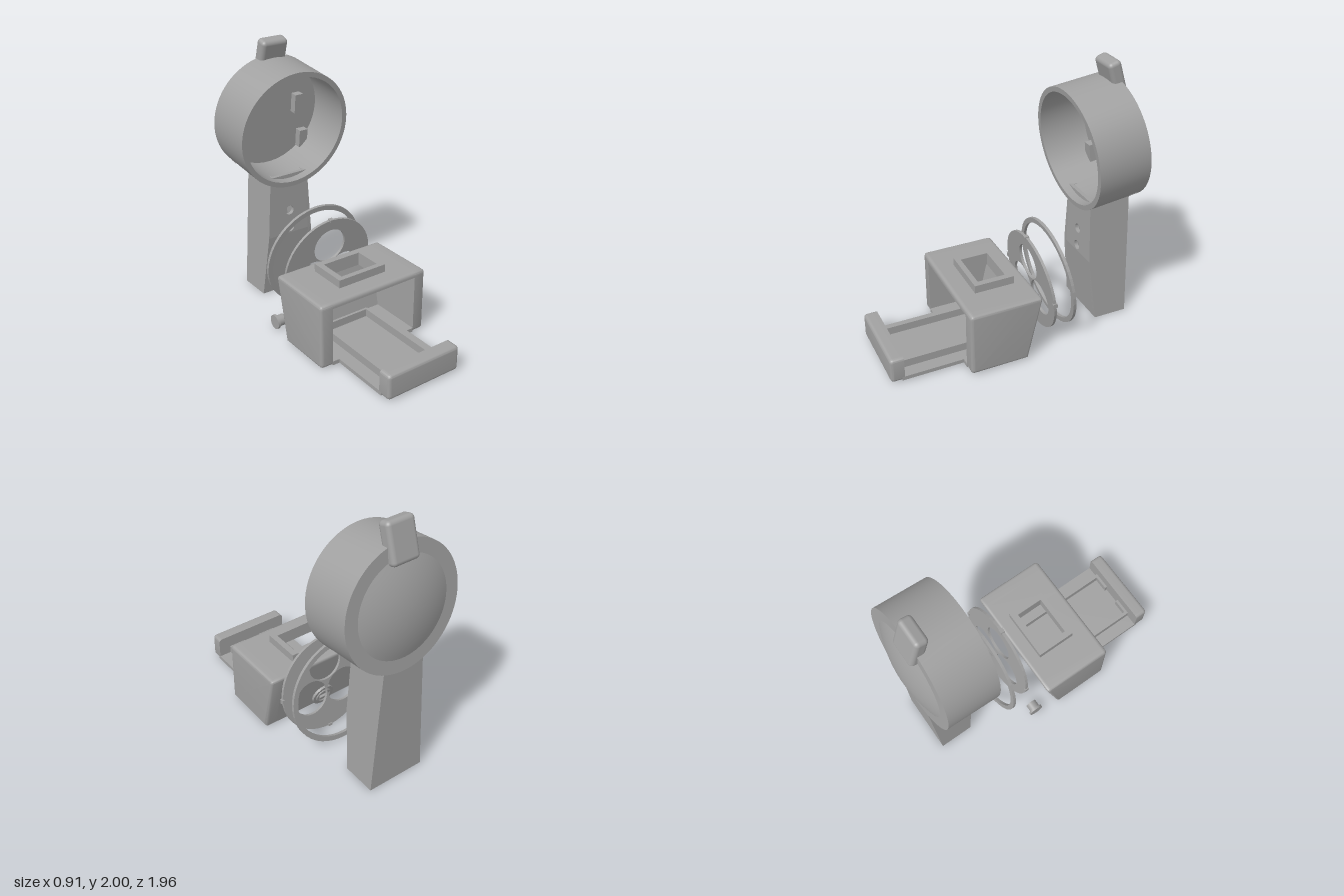
import * as THREE from 'three';
import { toCreasedNormals } from 'three/addons/utils/BufferGeometryUtils.js';
import { RoundedBoxGeometry } from 'three/addons/geometries/RoundedBoxGeometry.js';

const grey = new THREE.MeshStandardMaterial({ color: 0xa0a0a0 });
grey.name = 'plainGrey';

function add(parent, name, geo, x = 0, y = 0, z = 0, rx = 0) {
  const mesh = new THREE.Mesh(geo, grey);
  mesh.name = name;
  mesh.position.set(x, y, z);
  mesh.rotation.x = rx;
  parent.add(mesh);
  return mesh;
}

// Box given by its limits
function block(parent, name, x0, x1, y0, y1, z0, z1) {
  return add(parent, name, new THREE.BoxGeometry(x1 - x0, y1 - y0, z1 - z0),
    (x0 + x1) / 2, (y0 + y1) / 2, (z0 + z1) / 2);
}

// Polygon whose points may carry a corner radius: [x, y, r]
function poly(points, Kind = THREE.Shape) {
  const s = new Kind();
  const n = points.length;
  points.forEach(([x, y, r = 0], i) => {
    const p = new THREE.Vector2(x, y);
    const toward = (q) => new THREE.Vector2(q[0], q[1]).sub(p).setLength(r).add(p);
    const a = r ? toward(points[(i + n - 1) % n]) : p;
    if (i) s.lineTo(a.x, a.y); else s.moveTo(a.x, a.y);
    if (r) {
      const b = toward(points[(i + 1) % n]);
      s.quadraticCurveTo(x, y, b.x, b.y);
    }
  });
  s.closePath();
  return s;
}
const rect = (x0, x1, y0, y1, r = 0, Kind) =>
  poly([[x0, y0, r], [x1, y0, r], [x1, y1, r], [x0, y1, r]], Kind);
const circleHole = (x, y, r) => new THREE.Path().absarc(x, y, r, 0, Math.PI * 2, true);

function extrude(shape, depth, bevel = 0) {
  return new THREE.ExtrudeGeometry(shape, {
    depth, curveSegments: 24, bevelEnabled: bevel > 0, bevelSize: bevel,
    bevelThickness: bevel, bevelOffset: -bevel, bevelSegments: 5,
  });
}

// Move every vertex by a rule and rebuild normals
function reshape(geo, rule) {
  const p = geo.attributes.position;
  const v = new THREE.Vector3();
  for (let i = 0; i < p.count; i++) {
    rule(v.fromBufferAttribute(p, i));
    p.setXYZ(i, v.x, v.y, v.z);
  }
  geo.computeVertexNormals();
  return toCreasedNormals(geo, 0.6);
}

// Extrude a (z, y) profile across x
const across = (shape, x0, x1) =>
  extrude(shape, x1 - x0).rotateY(-Math.PI / 2).translate(x1, 0, 0);

function buildHousing(parent) {
  const g = new THREE.Group();
  g.name = 'housing';
  parent.add(g);
  const r = 0.03;
  // Solid cheeks, rounded only on the outside
  const cheek = poly([[0.44, 0.5, r], [-0.11, 0.5, r], [0, 0.01], [0.44, 0.01, r]]);
  for (const s of [-1, 1]) {
    const geo = extrude(cheek, 0.07, 0.025).rotateY(-Math.PI / 2)
      .translate(s > 0 ? 0.43 : -0.36, 0, 0);
    add(g, 'housingSide', reshape(geo, (v) => { v.x = s * Math.max(0.36, s * v.x); }));
    // Roof, sloped back and floor beside the roof slot
    const ring = poly([[0.44, 0.5, r], [-0.11, 0.5, r], [0, 0.01], [0.44, 0.01],
      [0.44, 0.04], [0.03, 0.04], [-0.065, 0.46], [0.44, 0.46]]);
    add(g, 'housingShell', s > 0 ? across(ring, 0.155, 0.36) : across(ring, -0.36, -0.155));
  }
  // Middle strip, with the roof slot left open
  const rear = poly([[0.05, 0.5], [-0.11, 0.5, r], [0, 0.01], [0.44, 0.01],
    [0.44, 0.04], [0.03, 0.04], [-0.065, 0.46], [0.05, 0.46]]);
  add(g, 'housingRear', across(rear, -0.155, 0.155));
  const lip = poly([[0.44, 0.5, r], [0.26, 0.5], [0.26, 0.46], [0.44, 0.46]]);
  add(g, 'housingFrontLip', across(lip, -0.155, 0.155));
  // Raised collar round the slot
  const collar = rect(-0.2, 0.2, -0.3, 0);
  collar.holes.push(rect(-0.155, 0.155, -0.26, -0.05, 0, THREE.Path));
  add(g, 'slotCollar', extrude(collar, 0.06).rotateX(-Math.PI / 2), 0, 0.5, 0);
}

function buildTray(parent) {
  const g = new THREE.Group();
  g.name = 'tray';
  parent.add(g);
  block(g, 'trayBase', -0.305, 0.305, 0.011, 0.04, 0.3, 0.9);
  for (const s of [-1, 1]) {
    block(g, 'trayRail', s * 0.197 - 0.012, s * 0.197 + 0.012, 0.035, 0.1, 0.1, 0.88);
    block(g, 'trayStop', s * 0.13 - 0.06, s * 0.13 + 0.06, 0.035, 0.1, 0.86, 0.885);
  }
  block(g, 'trayRearWall', -0.2, 0.2, 0.035, 0.1, 0.09, 0.11);
  // Front panel with a finger window, rounded on the front only
  const panel = rect(-0.305, 0.305, 0.01, 0.2, 0.03);
  panel.holes.push(rect(-0.083, 0.083, 0.058, 0.16, 0, THREE.Path));
  add(g, 'trayFront', reshape(extrude(panel, 0.075, 0.025).translate(0, 0, 0.88), (v) => {
    v.z = Math.max(0.88, v.z);
    if (Math.abs(v.x) < 0.15) {
      v.x = THREE.MathUtils.clamp(v.x, -0.083, 0.083);
      v.y = THREE.MathUtils.clamp(v.y, 0.058, 0.16);
    }
  }));
}

function buildLooseParts(parent) {
  // Slotted eyelet behind the housing
  const eye = new THREE.Shape().absarc(0, 0, 0.09, 0, Math.PI * 2);
  eye.holes.push(rect(-0.035, 0.035, -0.02, 0.02, 0, THREE.Path));
  const eyelet = add(parent, 'eyelet', extrude(eye, 0.018).translate(0, 0, -0.009), 0, 0.16, -0.095, -0.26);
  add(eyelet, 'eyeletRim', new THREE.TorusGeometry(0.058, 0.008, 8, 32), 0, 0, -0.009);

  // Side knob
  const knob = new THREE.Group();
  knob.name = 'knob';
  parent.add(knob);
  const stub = (r, x0, x1) => add(knob, 'knobPart',
    new THREE.CylinderGeometry(r, r, x1 - x0, 32).rotateZ(Math.PI / 2), (x0 + x1) / 2, 0.062, -0.192);
  stub(0.055, -0.43, -0.412);
  stub(0.042, -0.412, -0.355);

  // Wheel with three round windows and four rim tabs
  const disc = new THREE.Shape().absarc(0, 0, 0.378, 0, Math.PI * 2);
  for (let i = 0; i < 3; i++) {
    const a = Math.PI / 2 + i * Math.PI * 2 / 3;
    disc.holes.push(circleHole(0.16 * Math.cos(a), 0.16 * Math.sin(a), 0.136));
  }
  const wheel = add(parent, 'wheel', extrude(disc, 0.02).translate(0, 0, -0.01), 0.06, 0.393, -0.21, 0.13);
  for (let i = 0; i < 4; i++) {
    const tab = add(wheel, 'wheelTab', new THREE.BoxGeometry(0.02, 0.035, 0.034));
    tab.position.set(0.375 * Math.cos(i * Math.PI / 2), 0.375 * Math.sin(i * Math.PI / 2), 0);
    tab.rotation.z = i * Math.PI / 2;
  }

  // Retaining ring
  const band = new THREE.Shape().absarc(0, 0, 0.413, 0, Math.PI * 2);
  band.holes.push(circleHole(0, 0, 0.375));
  add(parent, 'ring', extrude(band, 0.022).translate(0, 0, -0.011), 0.04, 0.418, -0.358, 0.13);
}

function buildColumn(parent) {
  const g = new THREE.Group();
  g.name = 'column';
  parent.add(g);
  const half = (y) => 0.225 - 0.063 * y;
  const front = (y) => -0.62 - 0.12 * Math.max(0, 0.5 - y);
  const wall = (y0, y1) => poly([[-half(y0), y0], [half(y0), y0], [half(y1), y1], [-half(y1), y1]]);
  const t = 0.03;
  add(g, 'columnBack', extrude(wall(0, 0.99), t), 0, 0, -0.94);
  // Front wall in two panels, the upper with two round holes
  const upper = wall(0.5, 0.99);
  upper.holes.push(circleHole(0, 0.69, 0.036), circleHole(0, 0.545, 0.036));
  for (const panel of [upper, wall(0, 0.5)]) {
    add(g, 'columnFront', reshape(extrude(panel, t), (v) => { v.z += front(v.y) - t; }));
  }
  // Tapered side walls
  const side = poly([[-0.68, 0], [-0.62, 0.5], [-0.62, 0.99], [-0.94, 0.99], [-0.94, 0]]);
  for (const s of [-1, 1]) {
    const geo = s > 0 ? across(side, -t, 0) : across(side, 0, t);
    add(g, 'columnSide', reshape(geo, (v) => { v.x += s * half(v.y); }));
  }
}

function buildHead(parent) {
  const head = new THREE.Group();
  head.name = 'head';
  head.position.set(0, 1.365, -0.51);
  head.rotation.x = 0.118;
  parent.add(head);
  // Open drum with a shallow dome on the back
  const profile = [[0, 0.36], [0.415, 0.36], [0.415, 0], [0.453, 0], [0.453, 0.395], [0.355, 0.395]];
  for (let i = 1; i <= 10; i++) {
    const r = 0.355 * (1 - i / 10);
    profile.push([r, 0.395 + 0.07 * (1 - (r / 0.355) ** 2)]);
  }
  const drum = new THREE.LatheGeometry(profile.map(([r, h]) => new THREE.Vector2(r, h)), 72);
  add(head, 'drum', toCreasedNormals(drum.rotateX(-Math.PI / 2), 0.35));
  // Lugs on the inner floor
  for (const s of [-1, 1]) {
    add(head, 'upperLug', new THREE.BoxGeometry(0.068, 0.15, 0.06), s * 0.225, 0.05, -0.335);
    add(head, 'lowerLug', new THREE.BoxGeometry(0.072, 0.14, 0.06), s * 0.285, -0.255, -0.335);
  }
  // Latch over the top edge
  add(parent, 'latch', new RoundedBoxGeometry(0.215, 0.285, 0.1, 4, 0.03), 0, 1.858, -0.828, 0.3);
}

export function createModel() {
  const model = new THREE.Group();
  model.name = 'dispenserKit';
  buildHousing(model);
  buildTray(model);
  buildLooseParts(model);
  buildColumn(model);
  buildHead(model);
  return model;
}
